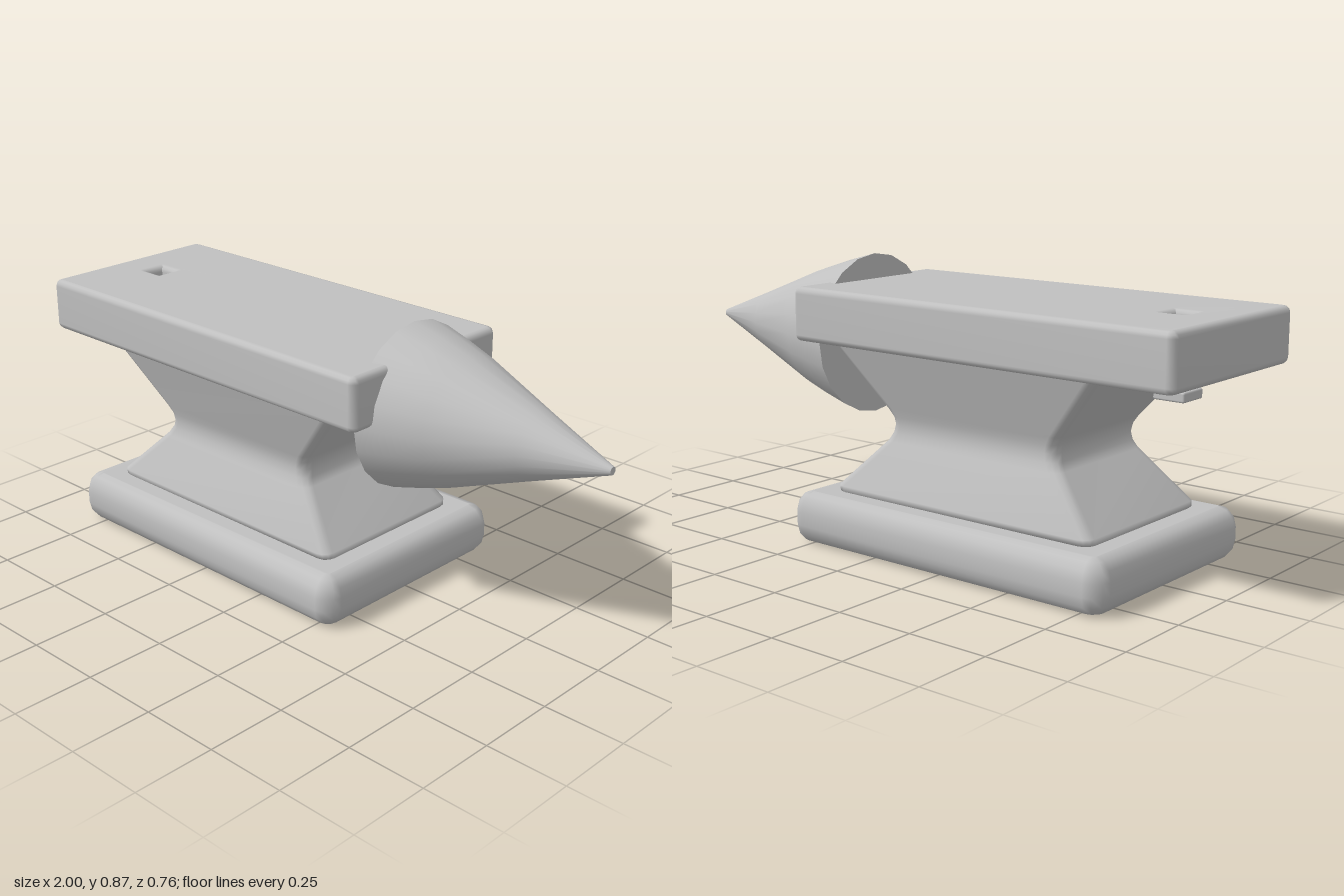
import * as THREE from 'three';
import { mergeVertices } from 'three/addons/utils/BufferGeometryUtils.js';
import { RoundedBoxGeometry } from 'three/addons/geometries/RoundedBoxGeometry.js';

// Shared vertices with area-weighted normals: broad faces stay flat, bevels blend
function smooth(geometry) {
  geometry.deleteAttribute('uv');
  geometry.deleteAttribute('normal');
  const merged = mergeVertices(geometry, 1e-4);
  merged.computeVertexNormals();
  return merged;
}

// Corner-rounded rectangle outline, returned as points
function outline(x0, x1, halfZ, radius, steps = 3) {
  const points = [];
  const corners = [[x1, halfZ], [x0, halfZ], [x0, -halfZ], [x1, -halfZ]];
  corners.forEach(([x, z], c) => {
    const cx = x === x1 ? x - radius : x + radius;
    const cz = z - Math.sign(z) * radius;
    for (let i = 0; i <= steps; i++) {
      const a = (c + i / steps) * Math.PI / 2;
      points.push(new THREE.Vector2(cx + radius * Math.cos(a), cz + radius * Math.sin(a)));
    }
  });
  return points;
}

// Slab lying flat between y0 and y1, bevelled all around, with an optional hole
function bevelledSlab(x0, x1, halfZ, y0, y1, radius, bevelSize, bevelThickness, hole) {
  const shape = new THREE.Shape(outline(x0 + bevelSize, x1 - bevelSize, halfZ - bevelSize, radius));
  if (hole) shape.holes.push(new THREE.Path(hole));
  const geometry = new THREE.ExtrudeGeometry(shape, {
    depth: y1 - y0 - 2 * bevelThickness, bevelSize, bevelThickness, bevelSegments: 3,
  });
  geometry.rotateX(-Math.PI / 2);
  geometry.translate(0, y0 + bevelThickness, 0);
  return smooth(geometry);
}

// Surface through stacked rounded rectangles: [y, x0, x1, halfZ]
function loft(sections, radius) {
  const rings = sections.map(([, x0, x1, halfZ]) => outline(x0, x1, halfZ, radius));
  const n = rings[0].length;
  const position = [];
  const index = [];
  rings.forEach((ring, r) => {
    ring.forEach((p) => position.push(p.x, sections[r][0], p.y));
    if (r === rings.length - 1) return;
    for (let i = 0; i < n; i++) {
      const a = r * n + i;
      const b = r * n + (i + 1) % n;
      index.push(a, a + n, b, b, a + n, b + n);
    }
  });
  const geometry = new THREE.BufferGeometry();
  geometry.setAttribute('position', new THREE.Float32BufferAttribute(position, 3));
  geometry.setIndex(index);
  geometry.computeVertexNormals();
  return geometry;
}

export function createModel() {
  const model = new THREE.Group();
  model.name = 'anvil';
  const steel = new THREE.MeshStandardMaterial({ color: 0xc0c0c0 });
  steel.name = 'steel grey';

  const add = (name, geometry, parent = model) => {
    const mesh = new THREE.Mesh(geometry, steel);
    mesh.name = name;
    parent.add(mesh);
    return mesh;
  };

  // Thick rounded foot
  add('base', bevelledSlab(-0.835, 0.32, 0.38, 0, 0.16, 0.012, 0.05, 0.06));

  // Pinched body between foot and face
  add('waist', loft([
    [0.15, -0.715, 0.2, 0.265],
    [0.163, -0.73, 0.215, 0.28],
    [0.18, -0.728, 0.213, 0.284],
    [0.33, -0.58, 0.068, 0.217],
    [0.355, -0.565, 0.055, 0.208],
    [0.38, -0.56, 0.05, 0.205],
    [0.405, -0.565, 0.055, 0.208],
    [0.43, -0.58, 0.07, 0.216],
    [0.625, -0.745, 0.235, 0.277],
  ], 0.035));

  // Working face, with a square hole that flares at both ends
  const hole = outline(-0.877, -0.773, 0.052, 0.012);
  add('face', bevelledSlab(-1, 0.355, 0.315, 0.618, 0.785, 0.006, 0.02, 0.02, hole));

  // Small loose plug under the hole
  const plug = add('holePlug', new RoundedBoxGeometry(0.1, 0.03, 0.1, 2, 0.006));
  plug.position.set(-0.825, 0.558, 0);

  // Conical horn along +x, slightly bulged, closed at the back
  const horn = new THREE.Group();
  horn.name = 'horn';
  horn.position.y = 0.61;
  model.add(horn);
  const profile = [[0.255, 0.3], [0.228, 0.4], [0.197, 0.5], [0.103, 0.75], [0.012, 0.998]];
  const cone = new THREE.LatheGeometry(profile.map(([r, x]) => new THREE.Vector2(r, x)), 20);
  add('hornCone', cone.rotateZ(-Math.PI / 2), horn);
  const back = new THREE.CircleGeometry(0.255, 20).rotateY(-Math.PI / 2);
  add('hornBack', back.translate(0.3, 0, 0), horn);
  const tip = new THREE.CircleGeometry(0.012, 20).rotateY(Math.PI / 2);
  add('hornTip', tip.translate(0.998, 0, 0), horn);

  return model;
}
